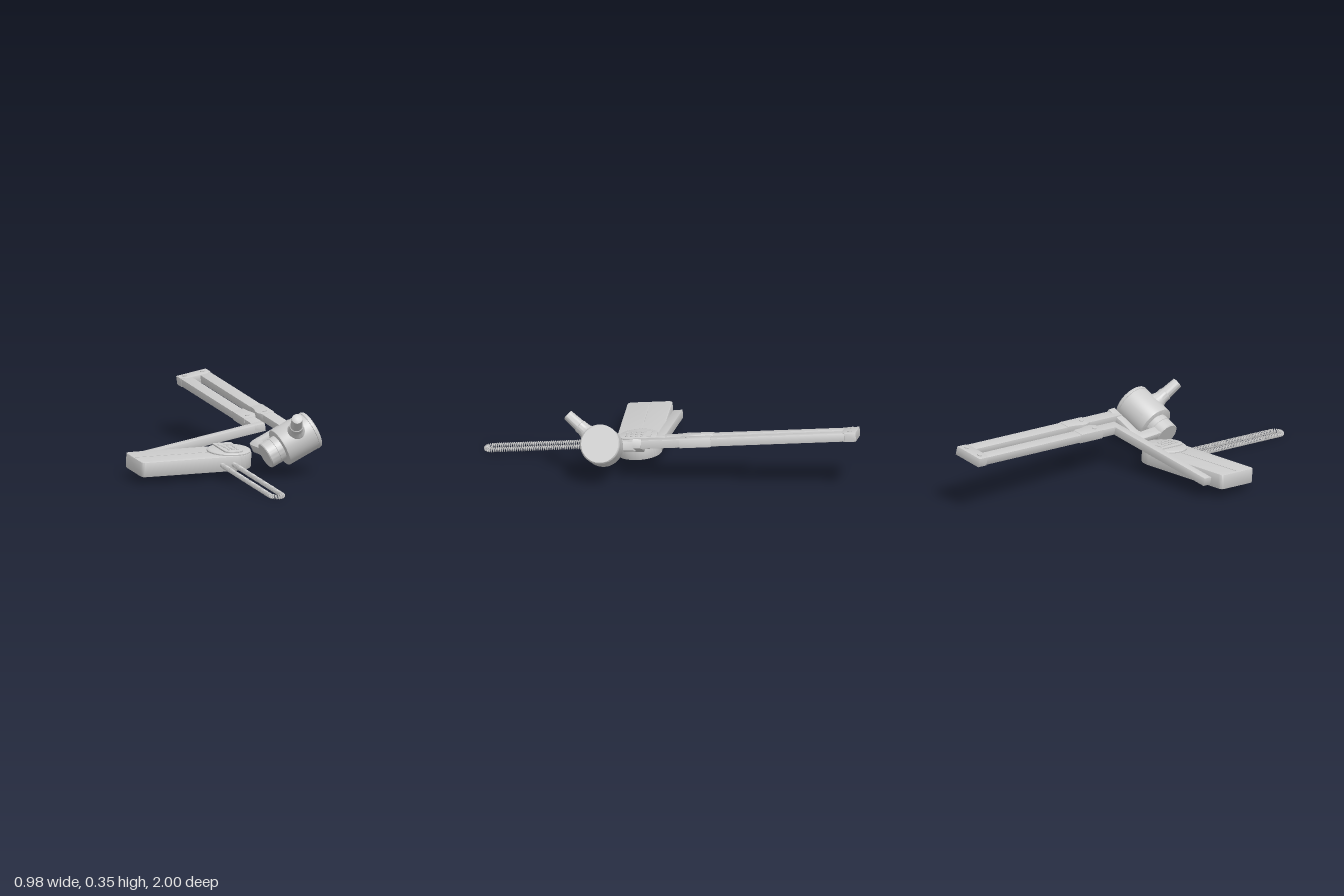
import * as THREE from 'three';
import { toCreasedNormals } from 'three/addons/utils/BufferGeometryUtils.js';

const grey = new THREE.MeshStandardMaterial({ color: 0xcccccc });
const crease = (g) => toCreasedNormals(g, 0.6);
const V2 = (a) => a.map(([x, y]) => new THREE.Vector2(x, y));

function add(parent, name, geo, x = 0, y = 0, z = 0) {
  const m = new THREE.Mesh(geo, grey);
  m.name = name;
  m.position.set(x, y, z);
  parent.add(m);
  return m;
}

function group(parent, name) {
  const g = new THREE.Group();
  g.name = name;
  parent.add(g);
  return g;
}

// box given by its limits on each axis
const span = (p, name, x0, x1, y0, y1, z0, z1) =>
  add(p, name, new THREE.BoxGeometry(x1 - x0, y1 - y0, z1 - z0), (x0 + x1) / 2, (y0 + y1) / 2, (z0 + z1) / 2);

// plate from an outline drawn in plan (shape y = model z), from y0 up to y1
function plan(p, name, shape, y0, y1, b = 0.004) {
  const g = new THREE.ExtrudeGeometry(shape, {
    depth: y1 - y0 - 2 * b, bevelEnabled: true, bevelSize: b, bevelThickness: b, bevelOffset: -b, bevelSegments: 2, curveSegments: 24,
  });
  g.rotateX(Math.PI / 2).translate(0, y1 - b, 0);
  return add(p, name, crease(g));
}

const lathe = (pts, n = 48) => crease(new THREE.LatheGeometry(V2(pts), n));

function buildControlBox(p) {
  const cz = 0.174, r = 0.119, cx = 0.04, x0 = -0.495, c = 0.025;
  // body with one fully rounded end
  const s = new THREE.Shape();
  s.moveTo(x0 + c, cz - r);
  s.lineTo(cx, cz - r);
  s.absarc(cx, cz, r, -Math.PI / 2, Math.PI / 2, false);
  s.lineTo(x0 + c, cz + r);
  s.quadraticCurveTo(x0, cz + r, x0, cz + r - c);
  s.lineTo(x0, cz - r + c);
  s.quadraticCurveTo(x0, cz - r, x0 + c, cz - r);
  plan(p, 'controlBody', s, 0.06, 0.14, 0.006);
  span(p, 'topSeam', -0.485, -0.07, 0.138, 0.1415, cz - 0.003, cz + 0.003);

  // round turret and the keypad on it
  add(p, 'turret', lathe([[0.115, 0], [0.115, 0.007], [0.111, 0.011], [0.104, 0.013], [0, 0.013]]), cx, 0.139, cz);
  const k = new THREE.Shape();
  const [kw, kh, kr] = [0.053, 0.1, 0.045];
  k.moveTo(cx - kw, cz - kh + 0.012);
  k.quadraticCurveTo(cx - kw, cz - kh, cx - kw + 0.012, cz - kh);
  k.lineTo(cx + kw - 0.012, cz - kh);
  k.quadraticCurveTo(cx + kw, cz - kh, cx + kw, cz - kh + 0.012);
  k.lineTo(cx + kw, cz + kh - kr);
  k.quadraticCurveTo(cx + kw, cz + kh, cx, cz + kh);
  k.quadraticCurveTo(cx - kw, cz + kh, cx - kw, cz + kh - kr);
  k.closePath();
  plan(p, 'keypad', k, 0.15, 0.16, 0.003);
  span(p, 'display', cx - 0.038, cx + 0.038, 0.159, 0.1625, cz - 0.07, cz - 0.042);
  for (let i = 0; i < 3; i++)
    for (let j = 0; j < 4; j++)
      add(p, 'button', new THREE.CylinderGeometry(0.0075, 0.0075, 0.005, 16), cx + (i - 1) * 0.025, 0.161, cz - 0.02 + j * 0.026);
}

// coil wound around a U-shaped path that leaves and returns to the box
class Coil extends THREE.Curve {
  constructor() {
    super();
    this.turns = 125;
  }
  getPoint(t, out = new THREE.Vector3()) {
    const w = 0.033, zs = 0.29, ze = 0.951, L = ze - zs, arc = Math.PI * w;
    let d = t * (2 * L + arc), x, z, a;
    if (d < L) [x, z, a] = [-w, zs + d, 0];
    else if (d < L + arc) {
      a = (d - L) / w;
      [x, z] = [-w * Math.cos(a), ze + w * Math.sin(a)];
    } else [x, z, a] = [w, ze - (d - L - arc), Math.PI];
    const q = t * this.turns * Math.PI * 2, r = 0.0105;
    const h = Math.cos(q) * r;
    return out.set(x - 0.011 - Math.cos(a) * h, 0.097 + Math.sin(q) * r, z + Math.sin(a) * h);
  }
}

function buildCord(p) {
  const coil = new Coil();
  coil.arcLengthDivisions = 3000;
  add(p, 'coiledCord', new THREE.TubeGeometry(coil, 1800, 0.0032, 5));
  for (const s of [-1, 1])
    add(p, 'cordPlug', new THREE.CylinderGeometry(0.011, 0.013, 0.035, 20).rotateX(Math.PI / 2), -0.011 + s * 0.033, 0.097, 0.3);
}

function buildArms(p) {
  const v0 = 0.142, v1 = 0.186;
  const bar = (name, x0, x1, z0, z1) => {
    const s = new THREE.Shape(V2([[x0, z0], [x1, z0], [x1, z1], [x0, z1]]));
    return plan(p, name, s, v0, v1, 0.003);
  };
  bar('wallArm', -0.398, 0.33, -0.002, 0.047);
  bar('lowerLongArm', 0.272, 0.33, -1.015, 0.047);
  bar('upperLongArm', 0.375, 0.437, -1.015, 0.15);

  // hinge plate joining the far ends
  const e = new THREE.Shape(V2([[0.27, -1.02], [0.439, -1.02], [0.439, -0.96], [0.42, -0.943], [0.289, -0.943], [0.27, -0.96]]));
  plan(p, 'endHinge', e, v0 - 0.002, v1 + 0.002, 0.002);

  // tapered sleeves at the middle joints, mirrored about the gap
  for (const [edge, s] of [[0.27, 1], [0.439, -1]]) {
    const X = (w) => edge + s * w;
    const pts = [[0, -0.255], [0.064, -0.255], [0.068, -0.2], [0.078, -0.155], [0.078, -0.13], [0.064, -0.09], [0, -0.09]];
    plan(p, 'jointSleeve', new THREE.Shape(V2(pts.map(([w, z]) => [X(w), z]))), v0 - 0.003, v1 + 0.003, 0.002);
    for (const z of [-0.985, -0.13])
      add(p, 'pivotPin', new THREE.CylinderGeometry(0.012, 0.012, v1 - v0 + 0.014, 20), X(0.035), (v0 + v1) / 2, z);
  }
}

function buildHead(p) {
  const alongX = (pts) => lathe(pts, 64).rotateZ(Math.PI / 2);
  add(p, 'tubeHousing', alongX([
    [0, 0], [0.097, 0], [0.102, 0.004], [0.104, 0.01], [0.104, 0.02], [0.1015, 0.021], [0.1015, 0.024],
    [0.103, 0.025], [0.103, 0.194], [0.101, 0.2], [0.096, 0.203], [0, 0.203],
  ]));
  add(p, 'swivelDrum', alongX([
    [0.07, 0.19], [0.07, 0.235], [0.068, 0.236], [0.068, 0.238], [0.07, 0.239], [0.07, 0.286], [0.066, 0.291], [0, 0.291],
  ]));
  // curved cover plate on the back of the housing
  const cover = new THREE.CylinderGeometry(0.1045, 0.1045, 0.1, 16, 1, true, -0.4, 0.8);
  const plate = add(p, 'rearCover', cover.rotateZ(Math.PI / 2), -0.11, 0, 0);
  plate.rotation.x = Math.PI + 0.25;
  plate.material = new THREE.MeshStandardMaterial({ color: 0xcccccc, side: THREE.DoubleSide });

  // aiming cone
  const cone = add(p, 'aimingCone', lathe([
    [0.05, 0.085], [0.045, 0.103], [0.038, 0.118], [0.036, 0.13], [0.036, 0.155], [0.032, 0.158], [0.028, 0.24],
    [0.025, 0.242], [0, 0.242],
  ], 40), -0.103, 0, 0);
  cone.rotation.x = 0.877;

  // bent yoke reaching from the arm to the drum
  const s = new THREE.Shape();
  s.moveTo(-0.032, -0.212);
  s.lineTo(-0.24, -0.212);
  s.quadraticCurveTo(-0.29, -0.212, -0.29, -0.162);
  s.lineTo(-0.29, 0);
  s.lineTo(-0.237, 0);
  s.lineTo(-0.237, -0.15);
  s.quadraticCurveTo(-0.237, -0.168, -0.219, -0.168);
  s.lineTo(-0.032, -0.168);
  s.closePath();
  plan(p, 'yoke', s, -0.01, 0.038, 0.004);
}

export function createModel() {
  const root = new THREE.Group();
  root.name = 'wallMountedXrayUnit';

  // the box, cord and arms share one pitch; the arms also roll
  const pitched = group(root, 'mount');
  pitched.rotation.x = 0.083;
  buildControlBox(group(pitched, 'controlBox'));
  buildCord(group(pitched, 'cord'));
  const arms = group(pitched, 'arms');
  arms.rotation.z = 0.173;
  buildArms(arms);

  const head = group(root, 'tubeHead');
  head.position.set(0.444, 0.238, 0.342);
  head.rotation.z = 0.445;
  buildHead(head);
  return root;
}
